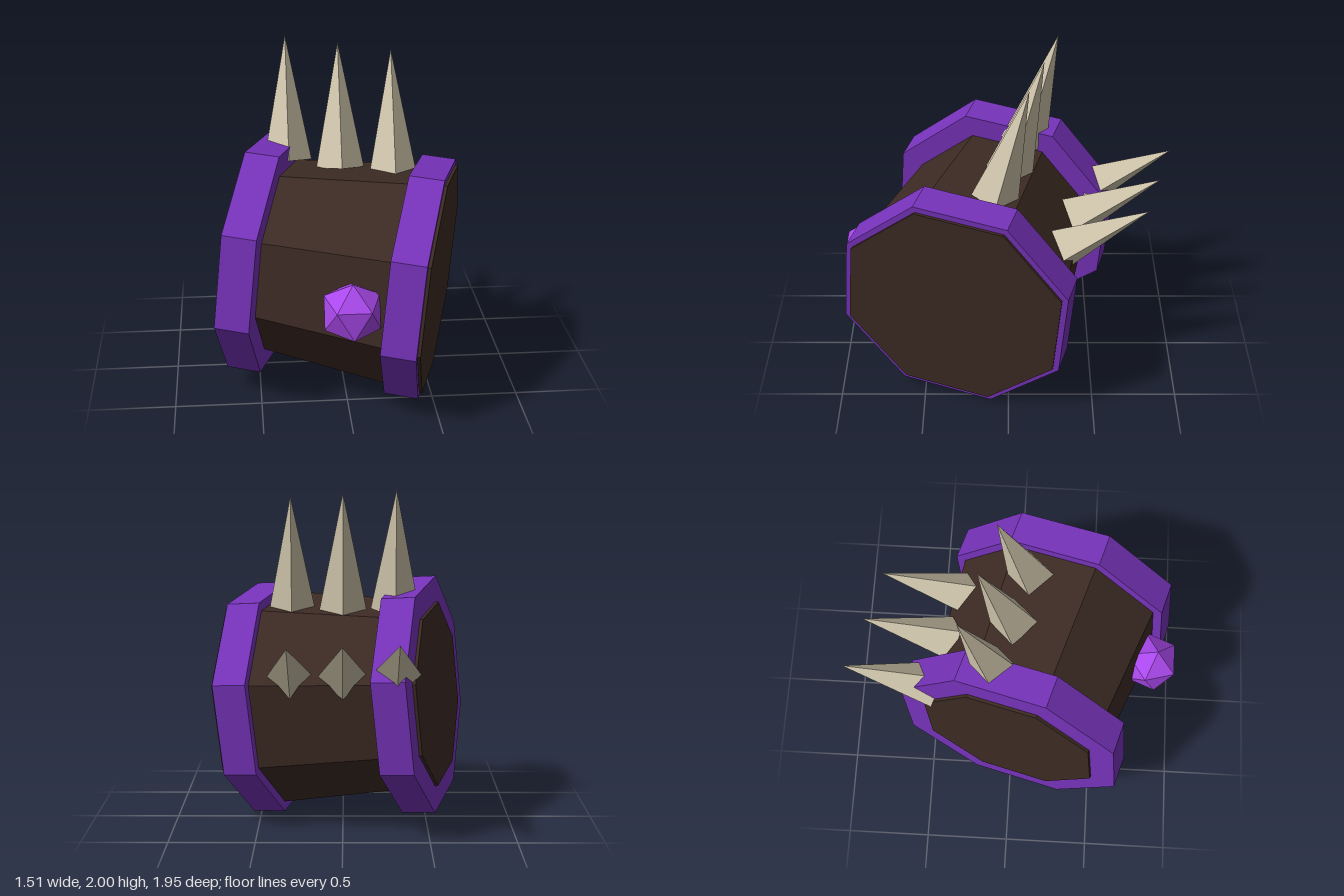
import * as THREE from 'three';

const mat = (color) => new THREE.MeshStandardMaterial({ color, flatShading: true });

export function createModel() {
  const model = new THREE.Group();
  const wood = mat(0x3d2b24), purple = mat(0x7733bb), bone = mat(0xd0c5ac), crystal = mat(0xaa48ec);

  const add = (parent, name, geometry, material) => {
    const mesh = new THREE.Mesh(geometry, material);
    mesh.name = name;
    parent.add(mesh);
    return mesh;
  };

  // Tilted octagonal head: local y runs along the handle axis, local z points to a corner
  const axis = new THREE.Vector3(0.9, -0.073, 0.266).normalize();
  const side = new THREE.Vector3().crossVectors(axis, new THREE.Vector3(-0.006, 0.683, 0.21)).normalize();
  const corner = new THREE.Vector3().crossVectors(side, axis);
  const head = new THREE.Group();
  head.name = 'head';
  head.quaternion.setFromRotationMatrix(new THREE.Matrix4().makeBasis(side, axis, corner));
  head.position.set(-0.005, 0.728, 0.155);
  model.add(head);

  // Core widens towards +x and pokes slightly out of both bands
  add(head, 'core', new THREE.CylinderGeometry(0.675, 0.55, 1.178, 8), wood);
  for (const s of [-1, 1]) {
    const band = add(head, s < 0 ? 'rightBand' : 'leftBand',
      new THREE.CylinderGeometry(0.71, 0.71, 0.2, 8), purple);
    band.position.y = s * 0.471;
  }

  // Two rows of three four-sided spikes; base centres step down and forward towards +x
  const rows = [
    { name: 'topSpike', height: 0.73, tilt: -0.27, y: 1.271, z: -0.005 },
    { name: 'backSpike', height: 0.57, tilt: -1.1, y: 0.952, z: -0.38 },
  ];
  for (const row of rows) {
    for (const i of [-1, 0, 1]) {
      const geometry = new THREE.ConeGeometry(0.14, row.height, 4).translate(0, row.height / 2, 0);
      const spike = add(model, row.name, geometry, bone);
      spike.position.set(i * 0.302, row.y - i * 0.026, row.z + i * 0.087);
      spike.rotation.x = row.tilt;
    }
  }

  // Gem on the front, one face turned to +z
  const gem = add(model, 'gem',
    new THREE.IcosahedronGeometry(0.18, 0).rotateY(-0.365).rotateZ(-Math.PI / 2), crystal);
  gem.position.set(-0.003, 0.73, 0.828);

  return model;
}
